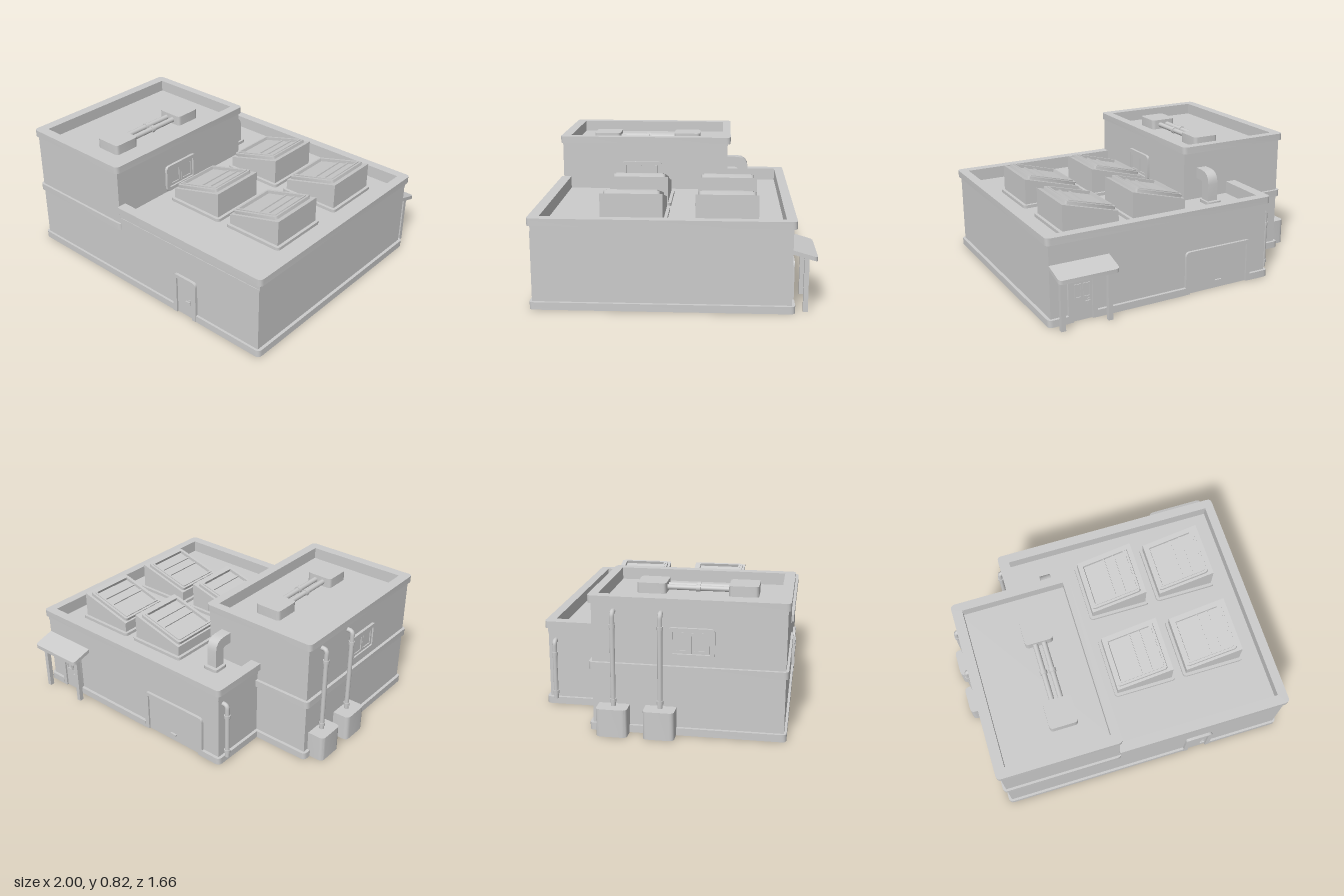
import * as THREE from 'three';
import { toCreasedNormals } from 'three/addons/utils/BufferGeometryUtils.js';

const mat = new THREE.MeshStandardMaterial({ color: 0xcccccc });

function mesh(geo, name, parent, x = 0, y = 0, z = 0) {
  const m = new THREE.Mesh(geo, mat);
  m.name = name;
  m.position.set(x, y, z);
  parent.add(m);
  return m;
}

function group(name, parent) {
  const g = new THREE.Group();
  g.name = name;
  parent.add(g);
  return g;
}

const box = (w, h, d, name, parent, x, y, z) =>
  mesh(new THREE.BoxGeometry(w, h, d), name, parent, x, y, z);

// Closed outline from [x, y, cornerRadius] points
function outline(pts, Type = THREE.Shape) {
  const s = new Type();
  const n = pts.length;
  pts.forEach(([x, y, r = 0], i) => {
    const p = new THREE.Vector2(x, y);
    const toward = (q) => new THREE.Vector2(q[0], q[1]).sub(p).setLength(r).add(p);
    const a = toward(pts[(i + n - 1) % n]);
    const b = toward(pts[(i + 1) % n]);
    if (i) s.lineTo(a.x, a.y); else s.moveTo(a.x, a.y);
    if (r) s.quadraticCurveTo(x, y, b.x, b.y);
  });
  s.closePath();
  return s;
}

const rect = (x0, y0, x1, y1, r = 0) => [[x0, y0, r], [x1, y0, r], [x1, y1, r], [x0, y1, r]];

function extrude(pts, depth, hole) {
  const s = outline(pts);
  if (hole) s.holes.push(outline(hole, THREE.Path));
  const g = new THREE.ExtrudeGeometry(s, { depth, bevelEnabled: false, curveSegments: 4 });
  return toCreasedNormals(g, 0.6);
}

// Plan outline (x, z) raised from y0 to y1
const slab = (pts, y0, y1, hole) =>
  extrude(pts, y1 - y0, hole).rotateX(Math.PI / 2).translate(0, y1, 0);

// U-shaped surround with a door leaf, facing +z with its back on z = 0
function door(name, parent, w, x, z, turn) {
  const g = group(name, parent);
  const a = w / 2, b = a - 0.03;
  mesh(extrude([[-a, 0], [-b, 0], [-b, 0.255], [b, 0.255], [b, 0], [a, 0],
    [a, 0.28, 0.03], [-a, 0.28, 0.03]], 0.018), 'doorSurround', g);
  box(2 * b, 0.255, 0.008, 'doorLeaf', g, 0, 0.1275, 0.002);
  g.position.set(x, 0, z);
  g.rotation.y = turn;
  return g;
}

function lever(parent) {
  box(0.016, 0.036, 0.006, 'handlePlate', parent, 0.037, 0.112, 0.008);
  box(0.03, 0.008, 0.008, 'handleLever', parent, 0.03, 0.116, 0.016);
}

// Framed two-pane window facing +z
function sideWindow(parent, x, turn) {
  const g = group('sideWindow', parent);
  mesh(extrude(rect(-0.135, -0.09, 0.135, 0.09, 0.025), 0.018,
    rect(-0.108, -0.065, 0.108, 0.065)), 'windowFrame', g);
  box(0.216, 0.13, 0.004, 'glass', g, 0, 0, 0.002);
  for (const s of [-1, 1]) {
    mesh(extrude(rect(-0.052, -0.062, 0.052, 0.062), 0.01,
      rect(-0.036, -0.046, 0.036, 0.046)), 'sash', g, s * 0.053);
  }
  g.position.set(x, 0.565, 0.27);
  g.rotation.y = turn;
}

// Downpipe leaving a -x wall, bending and running down
function downpipe(parent, wallX, x, z, y0, y1) {
  const g = group('downpipe', parent);
  const v = (a, b) => new THREE.Vector3(a, b, z);
  const path = new THREE.CurvePath();
  path.add(new THREE.LineCurve3(v(wallX + 0.02, y1), v(x + 0.022, y1)));
  path.add(new THREE.QuadraticBezierCurve3(v(x + 0.022, y1), v(x, y1), v(x, y1 - 0.025)));
  path.add(new THREE.LineCurve3(v(x, y1 - 0.025), v(x, y0)));
  mesh(new THREE.TubeGeometry(path, 64, 0.015, 10), 'pipe', g);
  for (const y of [y1 - 0.08, y0 + 0.04])
    mesh(new THREE.CylinderGeometry(0.02, 0.02, 0.02, 10), 'pipeCollar', g, x, y, z);
  mesh(new THREE.CylinderGeometry(0.015, 0.015, 0.004, 10), 'pipeEnd', g, x, y0, z);
}

// Sloped skylight on a flanged curb, rising toward +x
function skylight(parent, x, z) {
  const g = group('skylight', parent);
  g.position.set(x, 0, z);
  mesh(slab(rect(-0.205, -0.205, 0.205, 0.205, 0.025), 0.46, 0.485), 'skylightFlange', g);
  mesh(extrude([[-0.185, 0.465], [0.185, 0.465], [0.185, 0.65], [-0.185, 0.55]], 0.37),
    'skylightCurb', g, 0, 0, -0.185);
  const lid = group('skylightLid', g);
  lid.position.set(-0.01, 0.598, 0);
  lid.rotation.z = 0.265;
  mesh(slab(rect(-0.17, -0.168, 0.17, 0.168, 0.02), 0, 0.02,
    rect(-0.143, -0.14, 0.143, 0.14)), 'lidFrame', lid);
  mesh(slab(rect(-0.155, -0.153, 0.155, 0.153, 0.012), 0.02, 0.026,
    rect(-0.143, -0.14, 0.143, 0.14)), 'lidLip', lid);
  box(0.286, 0.004, 0.28, 'glass', lid, 0, 0.004, 0);
  for (const mx of [0.0, 0.07]) box(0.012, 0.012, 0.28, 'mullion', lid, mx, 0.008, 0);
}

export function createModel() {
  const model = new THREE.Group();
  model.name = 'building';
  const R = 0.03;

  // Plinth around both volumes, notched at the doors
  mesh(slab([[-0.91, 0.825, R], [0.325, 0.825], [0.325, 0.81], [0.51, 0.81], [0.51, 0.825],
    [1, 0.825, R], [1, -0.71, R], [0.873, -0.71], [0.873, -0.69], [0.687, -0.69], [0.687, -0.71],
    [0.08, -0.71], [0.08, -0.69], [-0.4, -0.69], [-0.4, -0.71], [-0.54, -0.71, R],
    [-0.54, -0.335], [-0.91, -0.335, R]], 0, 0.045), 'plinth', model);

  // Low hall with parapet and coping
  const hall = group('hall', model);
  mesh(slab([[-0.14, 0.81], [0.98, 0.81], [0.98, -0.69], [-0.52, -0.69], [-0.52, -0.31],
    [-0.14, -0.31]], 0, 0.465), 'hallWalls', hall);
  const band = (o, r) => [[-0.14, 0.825 - o], [1 - o, 0.825 - o, r], [1 - o, -0.71 + o, r],
    [-0.54 + o, -0.71 + o, r], [-0.54 + o, -0.31], [-0.47, -0.31], [-0.47, -0.65],
    [0.94, -0.65], [0.94, 0.76], [-0.14, 0.76]];
  mesh(slab(band(0.018, 0), 0.465, 0.5), 'hallParapet', hall);
  mesh(slab(band(0, R), 0.5, 0.545), 'hallCoping', hall);

  // Taller block with string course, parapet and coping
  const tower = group('tallBlock', model);
  const wall = rect(-0.89, -0.315, -0.14, 0.81);
  const trim = rect(-0.91, -0.335, -0.125, 0.825, R);
  const inner = rect(-0.845, -0.28, -0.185, 0.76);
  mesh(slab(wall, 0, 0.75), 'blockWalls', tower);
  mesh(slab(trim, 0.38, 0.425), 'stringCourse', tower);
  mesh(slab(wall, 0.75, 0.78, inner), 'blockParapet', tower);
  mesh(slab(trim, 0.78, 0.825, inner), 'blockCoping', tower);
  sideWindow(tower, -0.14, Math.PI / 2);
  sideWindow(tower, -0.89, -Math.PI / 2);

  // Roof units joined by a pair of pipes
  const units = group('roofUnits', model);
  for (const z of [-0.03, 0.53])
    mesh(slab(rect(-0.525, z - 0.09, -0.345, z + 0.09, 0.025), 0.745, 0.815), 'roofUnit', units);
  for (const x of [-0.463, -0.407]) {
    mesh(new THREE.CylinderGeometry(0.017, 0.017, 0.4, 12).rotateX(Math.PI / 2),
      'roofPipe', units, x, 0.78, 0.25);
    mesh(new THREE.CylinderGeometry(0.023, 0.023, 0.025, 12).rotateX(Math.PI / 2),
      'roofPipeCollar', units, x, 0.78, 0.25);
  }

  // Skylights
  for (const x of [0.152, 0.62]) for (const z of [-0.315, 0.245]) skylight(model, x, z);

  // Bent vent duct running into the tall block
  const vent = group('ventDuct', model);
  mesh(slab(rect(-0.325, -0.48, -0.22, -0.375, 0.02), 0.46, 0.485), 'ductFlange', vent);
  mesh(extrude([[-0.455, 0.465], [-0.385, 0.465], [-0.385, 0.605, 0.02], [-0.31, 0.605],
    [-0.31, 0.675], [-0.455, 0.675, 0.08]], 0.07).rotateY(-Math.PI / 2),
  'duct', vent, -0.235);

  // Doors
  lever(door('frontDoor', model, 0.185, 0.4175, 0.81, 0));
  const back = door('backDoor', model, 0.185, 0.78, -0.69, Math.PI);
  lever(back);
  for (const x of [-0.028, 0.028])
    mesh(extrude(rect(x - 0.024, 0.14, x + 0.024, 0.23), 0.007,
      rect(x - 0.016, 0.148, x + 0.016, 0.222)), 'doorPaneFrame', back, 0, 0, 0.005);
  const garage = door('garageDoor', model, 0.48, -0.16, -0.69, Math.PI);
  box(0.045, 0.01, 0.012, 'garageHandle', garage, 0, 0.05, 0.012);

  // Porch with sloped canopy on two posts
  const porch = group('porch', model);
  const canopy = slab([[0.6, -0.68], [0.98, -0.68], [0.98, -0.83, 0.025], [0.6, -0.83, 0.025]],
    0.35, 0.375);
  const p = canopy.attributes.position;
  for (let i = 0; i < p.count; i++) p.setY(i, p.getY(i) + (p.getZ(i) + 0.69) * 0.29);
  mesh(toCreasedNormals(canopy, 0.6), 'canopy', porch);
  for (const x of [0.64, 0.94]) box(0.028, 0.335, 0.028, 'porchPost', porch, x, 0.1675, -0.77);

  // Downpipes and their collecting boxes
  for (const z of [-0.185, 0.092]) {
    mesh(slab([[-0.88, z - 0.092], [-0.88, z + 0.092], [-1, z + 0.092, 0.03],
      [-1, z - 0.092, 0.03]], 0, 0.17), 'drainBox', model);
    downpipe(model, -0.89, -0.925, z, 0.165, 0.735);
  }
  downpipe(model, -0.52, -0.552, -0.645, 0.045, 0.42);

  return model;
}
